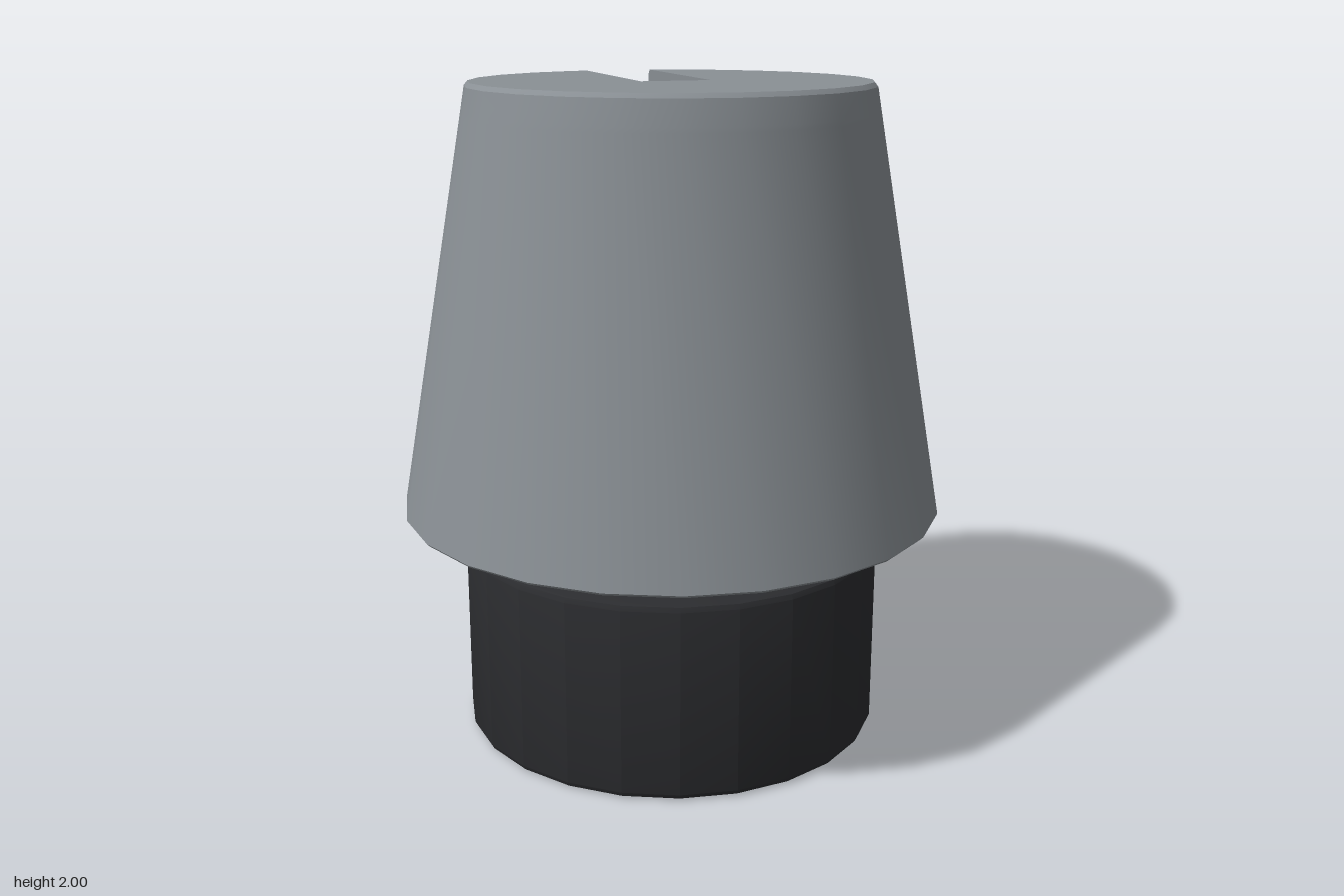
import * as THREE from 'three';
import { mergeGeometries, toCreasedNormals } from 'three/addons/utils/BufferGeometryUtils.js';

const SIDES = 24;
const STEP = (Math.PI * 2) / SIDES;
const CREASE = 0.5;

const grey = new THREE.MeshStandardMaterial({ color: 0x8a9095 });
const black = new THREE.MeshStandardMaterial({ color: 0x2b2c2f });

// Turned body from [radius, height] pairs, bottom to top
function turned(profile) {
  const g = new THREE.LatheGeometry(profile.map(([r, y]) => new THREE.Vector2(r, y)), SIDES).toNonIndexed();
  g.deleteAttribute('uv');
  g.deleteAttribute('normal');
  return g;
}

function part(name, geometry, material) {
  const mesh = new THREE.Mesh(toCreasedNormals(geometry, CREASE), material);
  mesh.name = name;
  return mesh;
}

// Horizontal outline of the cap with the pointer slot cut in from the back
function slottedLoop({ r, y, half, front }) {
  const back = -r + half * Math.tan(STEP / 2);
  const loop = [[-half, y, back]];
  for (let k = SIDES / 2 + 1; k < SIDES * 1.5; k++) {
    loop.push([r * Math.sin(k * STEP), y, r * Math.cos(k * STEP)]);
  }
  loop.push([half, y, back], [half, y, front], [-half, y, front]);
  return loop;
}

// Flat upward-facing polygon
function flatFace(points) {
  const flat = points.map(([x, , z]) => new THREE.Vector2(x, -z));
  return THREE.ShapeUtils.triangulateShape(flat, []).flat().flatMap((i) => points[i]);
}

// Upper end of the cap: side band, slot walls, slot floor and top
function slottedTop(rows) {
  const loops = rows.map(slottedLoop);
  const n = loops[0].length;
  const positions = [];
  for (let j = 0; j < loops.length - 1; j++) {
    for (let i = 0; i < n; i++) {
      const k = (i + 1) % n;
      const [a, b, c, d] = [loops[j][i], loops[j][k], loops[j + 1][k], loops[j + 1][i]];
      positions.push(...a, ...b, ...c, ...a, ...c, ...d);
    }
  }
  const low = loops[0];
  positions.push(...flatFace([low[n - 1], low[n - 2], low[n - 3], [0, rows[0].y, -rows[0].r], low[0]]));
  positions.push(...flatFace(loops[loops.length - 1]));
  const g = new THREE.BufferGeometry();
  g.setAttribute('position', new THREE.Float32BufferAttribute(positions, 3));
  return g;
}

export function createModel() {
  const model = new THREE.Group();
  model.name = 'knob';

  // Base with softened rims
  model.add(part('base', turned([
    [0, 0], [0.63, 0], [0.643, 0.006], [0.65, 0.02],
    [0.65, 0.585], [0.643, 0.599], [0.63, 0.605], [0, 0.605],
  ]), black));

  // Shaft joining base and cap
  model.add(part('shaft', turned([[0.325, 0.59], [0.325, 0.72]]), black));

  // Tapered cap with a pointer slot, chamfered at its floor
  const coneRadius = (y) => 0.835 - (y - 0.705) * 0.177;
  const floorY = 1.9;
  const body = turned([[0, 0.705], [0.826, 0.705], [coneRadius(0.713), 0.713], [coneRadius(floorY), floorY]]);
  const top = slottedTop([
    { r: coneRadius(floorY), y: floorY, half: 0.094, front: 0.038 },
    { r: coneRadius(1.914), y: 1.914, half: 0.107, front: 0.05 },
    { r: coneRadius(1.987), y: 1.987, half: 0.107, front: 0.05 },
    { r: 0.597, y: 2, half: 0.107, front: 0.05 },
  ]);
  model.add(part('cap', mergeGeometries([body, top]), grey));

  return model;
}
